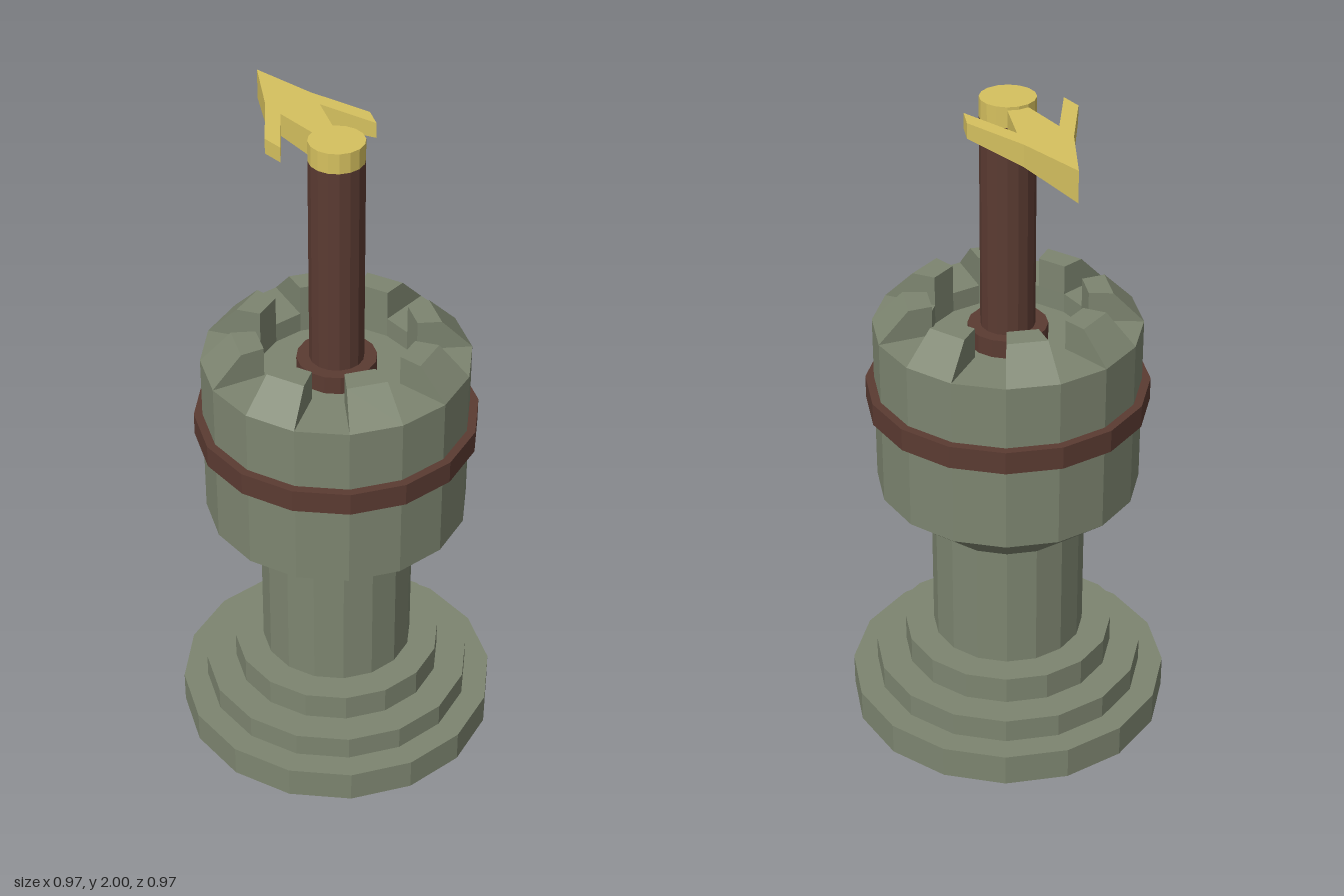
import * as THREE from 'three';
import { ConvexGeometry } from 'three/addons/geometries/ConvexGeometry.js';

const SIDES = 16;

function material(color) {
  return new THREE.MeshStandardMaterial({ color, flatShading: true });
}

function addMesh(parent, name, geometry, mat) {
  const mesh = new THREE.Mesh(geometry, mat);
  mesh.name = name;
  parent.add(mesh);
  return mesh;
}

// Faceted turned part from [radius, y] pairs
function turned(profile) {
  return new THREE.LatheGeometry(profile.map(([r, y]) => new THREE.Vector2(r, y)), SIDES);
}

// One block of the battlement, spanning one facet of the tower
function merlonGeometry(index) {
  const profile = [[0.23, 1.31], [0.39, 1.31], [0.3, 1.4], [0.23, 1.4]];
  const points = [];
  for (const step of [index, index + 1]) {
    const a = (step / SIDES) * Math.PI * 2;
    for (const [r, y] of profile) points.push(new THREE.Vector3(Math.sin(a) * r, y, Math.cos(a) * r));
  }
  return new ConvexGeometry(points);
}

// Half of the arrow: flat outline with an underside that deepens to a keel at x = 0
function arrowHalf(side) {
  const outline = [[0, 0], [0.03, 0], [0.03, 0.07], [0.06, 0.215], [0.145, 0.045],
    [0.16, 0.11], [0.07, 0.29], [0, 0.485]];
  const shape = new THREE.Shape(outline.map(([x, z]) => new THREE.Vector2(x * side, z)));
  const geometry = new THREE.ExtrudeGeometry(shape, { depth: 1, bevelEnabled: false });
  geometry.rotateX(-Math.PI / 2);
  const p = geometry.attributes.position;
  for (let i = 0; i < p.count; i++) {
    const top = 1.992 + 0.012 * p.getZ(i);
    const keel = 0.045 * Math.max(0, 1 - Math.abs(p.getX(i)) / 0.12);
    p.setY(i, p.getY(i) > 0.5 ? top : top - 0.045 - keel);
  }
  geometry.computeVertexNormals();
  return geometry;
}

export function createModel() {
  const model = new THREE.Group();
  model.name = 'towerWithArrow';
  const stone = material(0x7d8570);
  const wood = material(0x5b3b32);
  const gold = material(0xd6c15f);

  // Stepped base, shaft, flared head and sunken deck
  addMesh(model, 'tower', turned([
    [0, 0], [0.485, 0], [0.485, 0.1], [0.41, 0.1], [0.41, 0.175], [0.318, 0.175],
    [0.318, 0.26], [0.23, 0.26], [0.23, 0.655], [0.39, 0.79], [0.39, 1.31],
    [0.23, 1.31], [0.23, 1.25], [0, 1.25],
  ]), stone);

  // Battlement on every other facet
  const battlement = new THREE.Group();
  battlement.name = 'battlement';
  for (let i = 1; i < SIDES; i += 2) addMesh(battlement, 'merlon', merlonGeometry(i), stone);
  model.add(battlement);

  // Band around the head
  addMesh(model, 'band', turned([
    [0.38, 1.053], [0.415, 1.053], [0.415, 1.122], [0.38, 1.122],
  ]), wood);

  // Pole with collar and cap
  addMesh(model, 'collar', turned([[0.07, 1.25], [0.116, 1.25], [0.116, 1.305], [0.07, 1.305]]), wood);
  addMesh(model, 'pole', turned([[0.079, 1.24], [0.079, 1.94]]), wood);
  addMesh(model, 'cap', turned([[0, 1.94], [0.079, 1.94], [0.079, 2], [0, 2]]), gold);

  // Arrow pointing to the back
  const arrow = new THREE.Group();
  arrow.name = 'arrow';
  addMesh(arrow, 'arrowLeft', arrowHalf(1), gold);
  addMesh(arrow, 'arrowRight', arrowHalf(-1), gold);
  model.add(arrow);

  return model;
}
